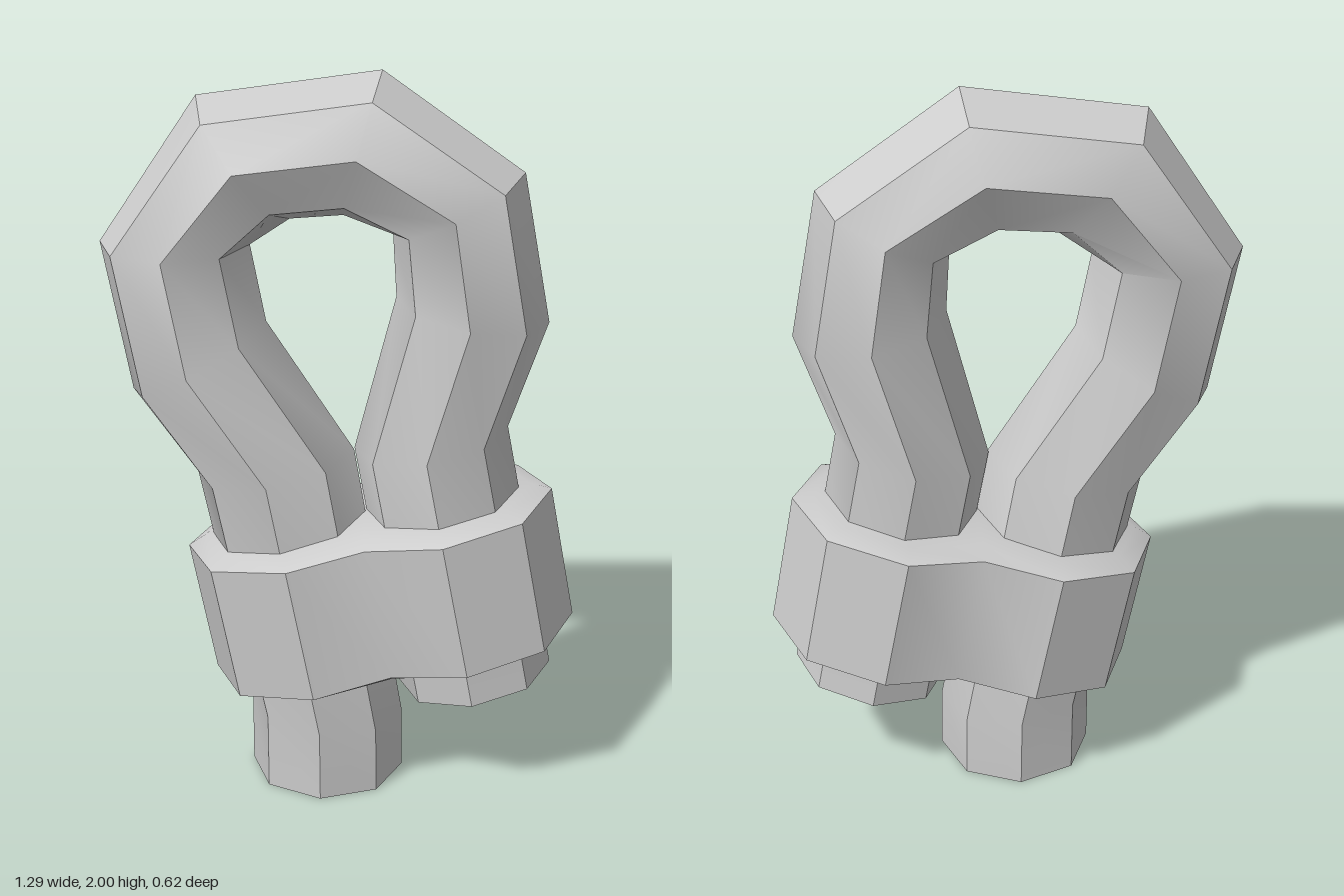
import * as THREE from 'three';
import { toCreasedNormals } from 'three/addons/utils/BufferGeometryUtils.js';

// Skin a list of closed loops; optionally fan-cap the first and last loop.
function loft(loops, capStart, capEnd) {
  const n = loops[0].length;
  const pos = loops.flat().flatMap((p) => p.toArray());
  const idx = [];
  for (let i = 0; i < loops.length - 1; i++) {
    for (let j = 0; j < n; j++) {
      const a = i * n + j, b = i * n + (j + 1) % n;
      idx.push(a, b, a + n, b, b + n, a + n);
    }
  }
  const cap = (row, flip) => {
    const c = new THREE.Vector3();
    loops[row].forEach((p) => c.addScaledVector(p, 1 / n));
    const ci = pos.length / 3;
    pos.push(c.x, c.y, c.z);
    for (let j = 0; j < n; j++) {
      const a = row * n + j, b = row * n + (j + 1) % n;
      if (flip) idx.push(ci, b, a);
      else idx.push(ci, a, b);
    }
  };
  if (capStart) cap(0, true);
  if (capEnd) cap(loops.length - 1, false);
  const g = new THREE.BufferGeometry();
  g.setAttribute('position', new THREE.Float32BufferAttribute(pos, 3));
  g.setIndex(idx);
  return toCreasedNormals(g, 0.6);
}

const YAW = 0.035; // the whole loop is turned slightly about y
const SIDES = 8;

// Octagonal ring of the cable, from its outer and inner point in the loop plane
function cableRing([ox, oy, ix, iy]) {
  const cx = (ox + ix) / 2, cy = (oy + iy) / 2;
  const loop = [];
  for (let k = 0; k < SIDES; k++) {
    const a = (k / SIDES) * Math.PI * 2;
    const c = Math.cos(a);
    loop.push(new THREE.Vector3(
      cx + (ox - cx) * c,
      cy + (oy - cy) * c,
      0.01 - YAW * cx + 0.217 * Math.sin(a)
    ));
  }
  return loop;
}

// Two-lobed outline of the clamp at height y, shrunk by inset
function clampLoop(y, inset) {
  const r = 0.3 - inset, d = r * Math.SQRT1_2, w = 0.237 - inset * 0.8, c = 0.21;
  const half = [[-c - r, 0], [-c - d, d], [-c, r], [0, w], [c, r], [c + d, d]];
  return [...half, ...half.map(([x, z]) => [-x, -z])]
    .map(([x, z]) => new THREE.Vector3(x, y, z));
}

export function createModel() {
  const group = new THREE.Group();

  // Cable: up the left strand, round the eye, down the right strand
  const rings = [
    [-0.26, 0, 0.17, 0],
    [-0.26, 0.22, 0.167, 0.18],
    [-0.40, 0.89, 0.03, 0.97],
    [-0.57, 1.13, -0.205, 1.33],
    [-0.645, 1.54, -0.245, 1.54],
    [-0.38, 1.93, -0.14, 1.61],
    [0.10, 2.0, 0.0, 1.62],
    [0.47, 1.74, 0.13, 1.57],
    [0.545, 1.34, 0.14, 1.40],
    [0.445, 1.045, 0.03, 0.97],
    [0.582, 0.342, 0.16, 0.263],
  ];
  const cable = new THREE.Mesh(
    loft(rings.map(cableRing), false, true),
    new THREE.MeshStandardMaterial({ color: 0xcccccc, side: THREE.DoubleSide })
  );
  cable.name = 'cableLoop';
  group.add(cable);

  // Clamp: tilted sleeve with bevelled ends around both strands
  const h = 0.19;
  const clamp = new THREE.Mesh(
    loft([
      clampLoop(-h - 0.025, 0.055),
      clampLoop(-h, 0),
      clampLoop(h, 0),
      clampLoop(h + 0.025, 0.055),
    ], true, true),
    new THREE.MeshStandardMaterial({ color: 0xcccccc })
  );
  clamp.name = 'clampSleeve';
  clamp.position.set(0.105, 0.578, 0);
  clamp.rotation.set(0, YAW, 0.19);
  group.add(clamp);

  return group;
}
